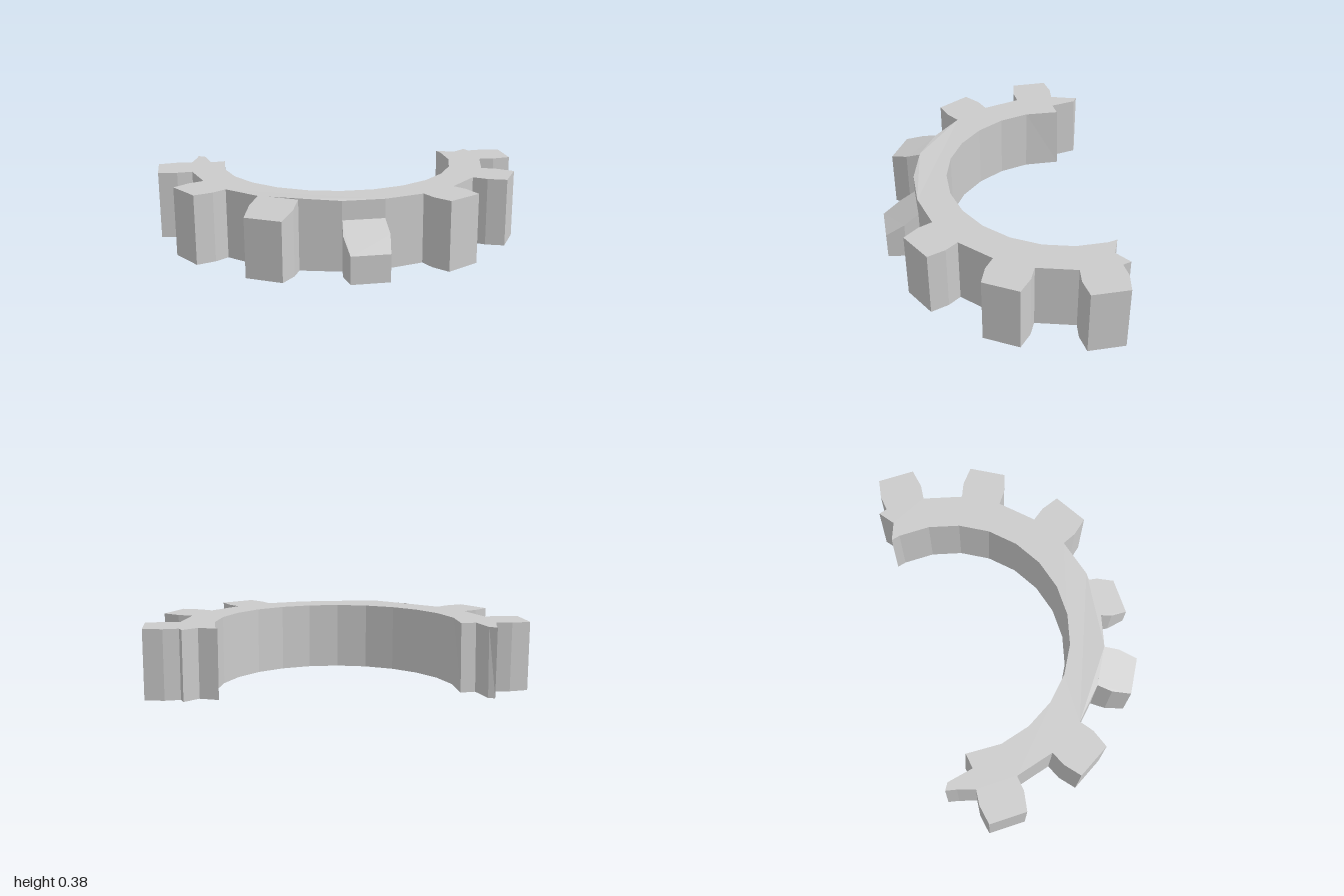
import * as THREE from 'three';

const H = 0.37, CZ = -0.28;                 // ring height, centre of the ring in z
const R_IN = 0.65, R_ROOT = 0.832, R_MID = 0.915, R_TIP = 1.015;
const material = new THREE.MeshStandardMaterial({ color: 0xcccccc, flatShading: true });

// Point on a circle about the ring axis; 0 degrees faces the front, positive towards +x
function polar(r, deg) {
  const a = THREE.MathUtils.degToRad(deg);
  return [r * Math.sin(a), CZ + r * Math.cos(a)];
}

// Outline of one tooth, from its lower angle to its higher one
function toothOutline(deg) {
  return [[R_ROOT, -7.5], [R_MID, -7.4], [R_TIP, -5.65], [R_TIP, 5.65], [R_MID, 7.4], [R_ROOT, 7.5]]
    .map(([r, d]) => polar(r, deg + d));
}

// Upright prism over an (x, z) outline, with its vertices adjusted by a rule
function prism(name, outline, adjust) {
  const shape = new THREE.Shape(outline.map(([x, z]) => new THREE.Vector2(x, -z)));
  const geo = new THREE.ExtrudeGeometry(shape, { depth: H, bevelEnabled: false });
  geo.rotateX(-Math.PI / 2);
  const pos = geo.attributes.position, v = new THREE.Vector3();
  for (let i = 0; i < pos.count; i++) {
    v.fromBufferAttribute(pos, i);
    adjust(v, v.y > H / 2);
    pos.setXYZ(i, v.x, v.y, v.z);
  }
  geo.computeVertexNormals();
  const mesh = new THREE.Mesh(geo, material);
  mesh.name = name;
  return mesh;
}

export function createModel() {
  const group = new THREE.Group();
  group.name = 'brokenGear';

  // Ring with its whole teeth; the two damaged teeth only leave their roots here
  const outline = [];
  for (let deg = -105; deg <= 75; deg += 30) {
    const t = toothOutline(deg);
    if (deg === -45 || deg === -15) outline.push(t[0], t[5]);
    else if (deg === -105) outline.push(...t.slice(1));
    else outline.push(...t);
  }
  // Jagged break at the left end
  outline.push([0.823, -0.219], [0.73, -0.182], [0.645, -0.245]);
  for (let deg = 82.5; deg >= -97.5; deg -= 15) outline.push(polar(R_IN, deg));
  // Jagged break at the right end
  outline.push([-0.588, -0.545], [-0.67, -0.556], [-0.66, -0.70], [-0.69, -0.733], [-0.717, -0.68],
    toothOutline(-105)[0]);

  const [px, pz] = polar(R_ROOT, -37.5);    // slightly raised corner by the chipped tooth
  group.add(prism('gearRing', outline, (v, top) => {
    if (top && Math.hypot(v.x - px, v.z - pz) < 0.01) v.y = 0.378;
    if (!top && v.z < -0.5 && v.z > -0.72 && v.x > -0.7) v.z -= 0.013;
  }));

  // Damaged teeth: tops slope from the root down to the tip
  const slopedTooth = (name, deg, rootY, tipY) =>
    prism(name, toothOutline(deg), (v, top) => {
      if (!top) return;
      const r = Math.hypot(v.x, v.z - CZ);
      v.y = THREE.MathUtils.mapLinear(r, R_ROOT, R_TIP, rootY, tipY);
    });
  group.add(slopedTooth('chippedTooth', -45, 0.372, 0.312));
  group.add(slopedTooth('brokenTooth', -15, 0.27, 0.145));

  return group;
}
